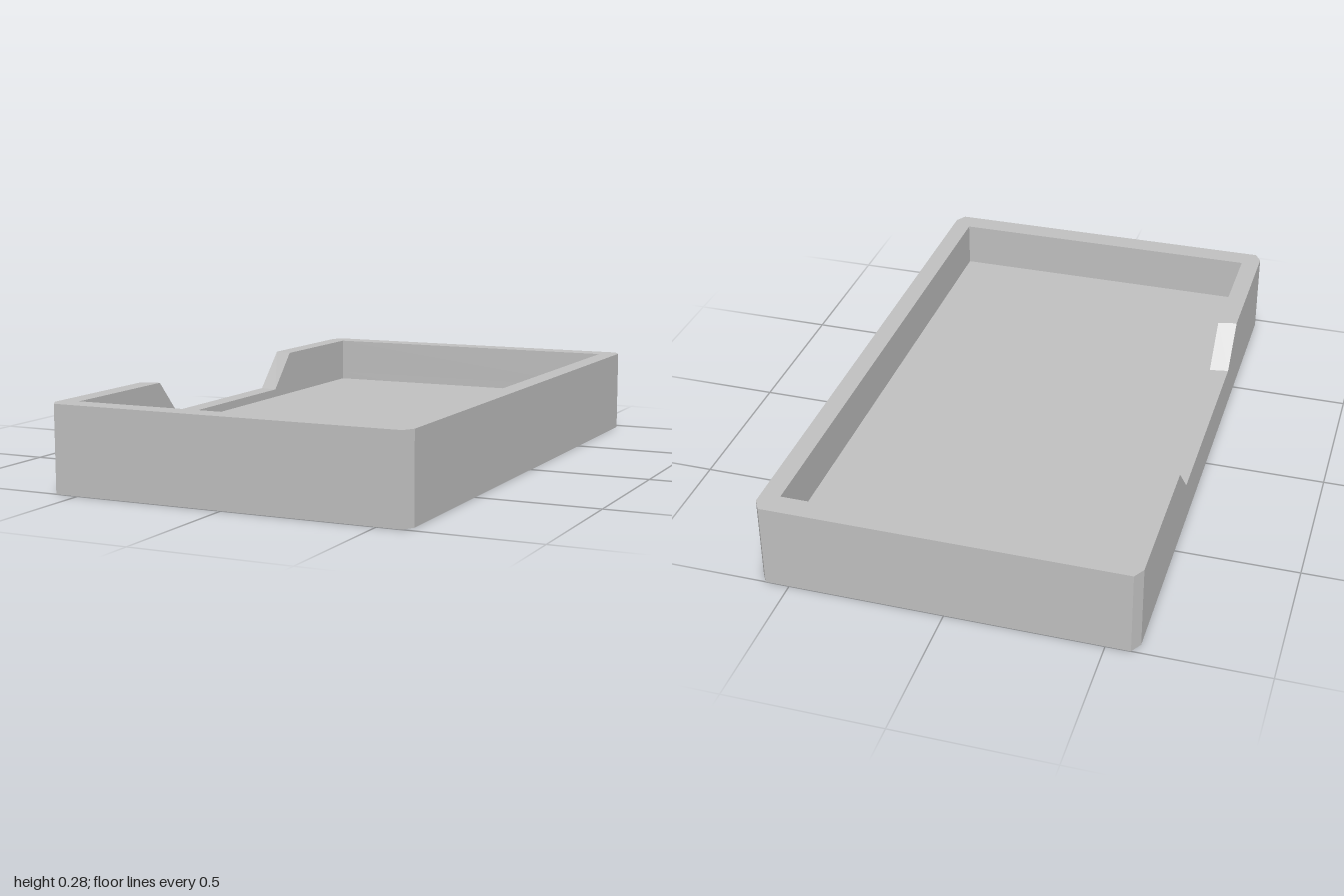
import * as THREE from 'three';

const W = 0.6, L = 1, H = 0.28;            // outer half width, half length, height
const IW = 0.537, IL = 0.924;              // inner half width, half length
const FLOOR = 0.127, SILL = 0.155;         // floor level and bottom of the side cut-out
const CX = 0.022, CZ = 0.037;              // corner chamfer
const CUT = { outer: [0.356, 0.478], inner: [0.345, 0.462] }; // cut-out half length [bottom, top]

// Outer outline, starting and ending on the -x side
const outerOutline = [
  [-W, -L + CZ], [-W + CX, -L], [W - CX, -L], [W, -L + CZ],
  [W, L - CZ], [W - CX, L], [-W + CX, L], [-W, L - CZ],
];
const innerOutline = [[-IW, -IL], [IW, -IL], [IW, IL], [-IW, IL]];
const toPoints = (list) => list.map(([x, y]) => new THREE.Vector2(x, y));

// Extrude a plan outline upward from y0 to y1
function extrudeUp(shape, y0, y1) {
  const geometry = new THREE.ExtrudeGeometry(shape, { depth: y1 - y0, bevelEnabled: false });
  return geometry.rotateX(-Math.PI / 2).translate(0, y0, 0);
}

export function createModel() {
  const group = new THREE.Group();
  const grey = new THREE.MeshStandardMaterial({ color: 0xc0c0c0 });
  grey.name = 'plain grey';
  const add = (name, geometry) => {
    const mesh = new THREE.Mesh(geometry, grey);
    mesh.name = name;
    group.add(mesh);
  };

  // Floor plate
  add('floor', new THREE.BoxGeometry(2 * IW, FLOOR, 2 * IL).translate(0, FLOOR / 2, 0));

  // Lower wall, running all the way round
  const ring = new THREE.Shape(toPoints(outerOutline));
  ring.holes.push(new THREE.Path(toPoints(innerOutline)));
  add('lowerWall', extrudeUp(ring, 0, SILL));

  // Upper wall, open along the cut-out on the -x side
  const [ob, ot] = CUT.outer, [ib, it] = CUT.inner;
  const open = new THREE.Shape(toPoints([
    [-W, -ob], ...outerOutline, [-W, ob],
    [-IW, ib], ...innerOutline.slice().reverse(), [-IW, -ib],
  ]));
  const upper = extrudeUp(open, SILL, H);

  // Pull the top corners of the open ends back to make the sloped sides
  const pos = upper.attributes.position;
  for (let i = 0; i < pos.count; i++) {
    const z = pos.getZ(i);
    if (pos.getX(i) < 0 && Math.abs(z) < 0.4 && pos.getY(i) > H - 0.01) {
      pos.setZ(i, Math.sign(z) * (pos.getX(i) < -(W + IW) / 2 ? ot : it));
    }
  }
  upper.computeVertexNormals();
  add('upperWall', upper);

  return group;
}
